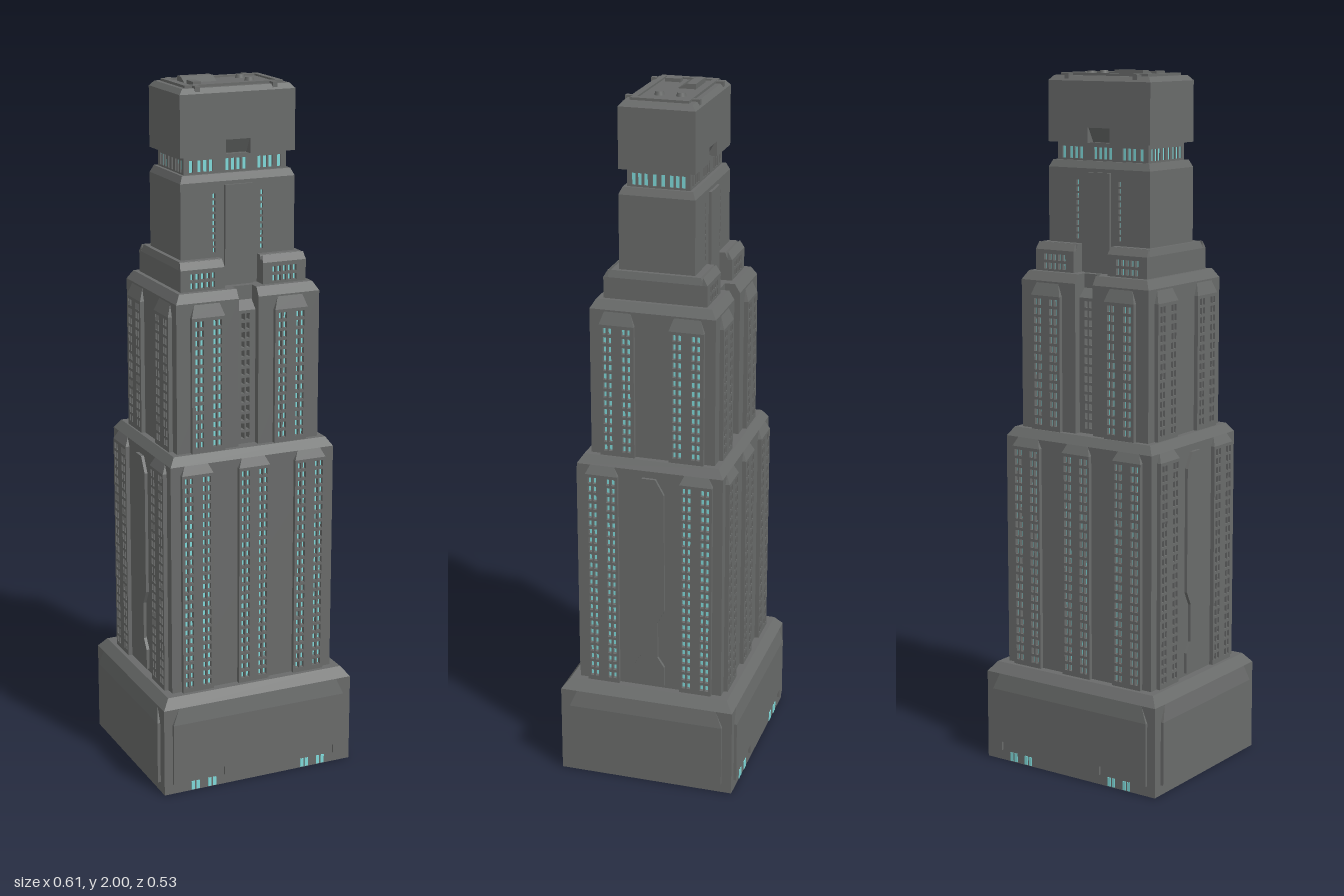
import * as THREE from 'three';

const stone = new THREE.MeshStandardMaterial({ color: 0x696b6a });
stone.name = 'grey stone';
const glass = new THREE.MeshStandardMaterial({ color: 0x7fdada });
glass.name = 'cyan glass';

function add(parent, name, geometry, material = stone) {
  const mesh = new THREE.Mesh(geometry, material);
  mesh.name = name;
  parent.add(mesh);
  return mesh;
}

// Box given by its bounds; the top edges can be pulled in per side.
function block(x0, x1, y0, y1, z0, z1, inset = {}) {
  const { l = 0, r = 0, b = 0, f = 0 } = inset;
  const g = new THREE.BoxGeometry(1, 1, 1).toNonIndexed();
  const p = g.attributes.position;
  for (let i = 0; i < p.count; i++) {
    const top = p.getY(i) > 0 ? 1 : 0;
    const x = p.getX(i) < 0 ? x0 + l * top : x1 - r * top;
    const z = p.getZ(i) < 0 ? z0 + b * top : z1 - f * top;
    p.setXYZ(i, x, top ? y1 : y0, z);
  }
  g.computeVertexNormals();
  return g;
}

// Centred block with a sloped coping on top.
function tier(parent, name, hx, hz, y0, yc, y1, cut) {
  add(parent, name, block(-hx, hx, y0, yc, -hz, hz));
  add(parent, name + 'Coping', block(-hx, hx, yc, y1, -hz, hz, { l: cut, r: cut, b: cut, f: cut }));
}

function plate(points, depth, holes = []) {
  const shape = new THREE.Shape(points.map(([x, y]) => new THREE.Vector2(x, y)));
  for (const h of holes) shape.holes.push(new THREE.Path(h.map(([x, y]) => new THREE.Vector2(x, y))));
  return new THREE.ExtrudeGeometry(shape, { depth, bevelEnabled: false });
}
const rect = (x0, x1, y0, y1) => [[x0, y0], [x1, y0], [x1, y1], [x0, y1]];

// Group standing on one side of the tower, with local +z pointing outward.
function face(parent, name, angle, dist, along = 0) {
  const turn = new THREE.Group();
  turn.rotation.y = angle;
  turn.name = name + 'Side';
  const g = new THREE.Group();
  g.position.set(along, 0, dist);
  g.name = name;
  turn.add(g);
  parent.add(turn);
  return g;
}

// Raised bay pierced by columns of small windows, glass set deep inside.
function windowBay(g, o) {
  const { w, y0, y1, cols, rows, win0, win1, depth = 0.012, paneW = 0.01, cap = 0, slope = 0.025 } = o;
  const pitch = (win1 - win0) / rows;
  const holes = [];
  for (const c of cols) {
    for (let r = 0; r < rows; r++) {
      const y = win0 + r * pitch;
      holes.push(rect(c - paneW / 2, c + paneW / 2, y + pitch * 0.15, y + pitch * 0.85));
    }
    const pane = new THREE.PlaneGeometry(paneW + 0.002, win1 - win0);
    pane.translate(c, (win0 + win1) / 2, 0.001);
    add(g, 'glassColumn', pane, glass);
  }
  add(g, 'bayFrame', plate(rect(-w / 2, w / 2, y0, y1), depth, holes));
  if (cap) add(g, 'bayCap', block(-w / 2, w / 2, y1, y1 + slope, -0.002, depth, { f: depth, l: cap, r: cap }));
}
const pairs = (...centres) => centres.flatMap(c => [c - 0.0075, c + 0.0075]);

export function createModel() {
  const tower = new THREE.Group();
  tower.name = 'tower';
  const front = [0, Math.PI], sides = [Math.PI / 2, -Math.PI / 2];

  // Podium with raised panels and low entrance windows
  tier(tower, 'podium', 0.296, 0.259, 0, 0.262, 0.29, 0.022);
  for (const a of front) {
    const g = face(tower, 'podiumFront', a, 0.259);
    add(g, 'panel', plate([[-0.27, 0.03], [-0.24, 0.03], [-0.24, 0.057], [-0.11, 0.057], [-0.11, 0.03],
      [0.11, 0.03], [0.11, 0.057], [0.24, 0.057], [0.24, 0.03], [0.27, 0.03], [0.27, 0.215], [-0.27, 0.215]], 0.008));
    add(g, 'panelSlope', block(-0.27, 0.27, 0.215, 0.262, -0.002, 0.008, { f: 0.008, l: 0.02, r: 0.02 }));
    for (const s of [-1, 1]) for (const c of pairs(s * 0.148, s * 0.2))
      add(g, 'entranceWindow', block(c - 0.005, c + 0.005, 0.002, 0.028, -0.001, 0.002), glass);
  }
  for (const a of sides) {
    const g = face(tower, 'podiumSide', a, 0.296);
    add(g, 'panel', plate(rect(-0.23, 0.23, 0.03, 0.215), 0.009));
    add(g, 'panelSlope', block(-0.23, 0.23, 0.215, 0.262, -0.002, 0.009, { f: 0.009, l: 0.02, r: 0.02 }));
  }

  // Lower shaft
  tier(tower, 'lowerShaft', 0.251, 0.213, 0.29, 0.965, 0.99, 0.017);
  const low = { w: 0.095, y0: 0.29, y1: 0.94, rows: 24, win0: 0.3, win1: 0.935, cols: pairs(-0.027, 0.027), cap: 0.012 };
  for (const a of front) for (const x of [-0.174, 0, 0.174])
    windowBay(face(tower, 'lowerFrontBay', a, 0.213, x), low);
  const fin = [[0.045, 0.3], [0.045, 0.36], [0.025, 0.39], [0.025, 0.5], [0.045, 0.54], [0.045, 0.9], [0.02, 0.945]];
  for (const a of sides) {
    for (const z of [-0.138, 0.138]) windowBay(face(tower, 'lowerSideBay', a, 0.251, z), low);
    add(face(tower, 'sideFin', a, 0.251), 'fin',
      plate([...fin, ...fin.map(([x, y]) => [-x, y]).reverse()], 0.009));
  }

  // Middle shaft: two halves with a notch between them
  for (const s of [-1, 1]) {
    const x0 = s < 0 ? -0.217 : 0.03, x1 = s < 0 ? -0.03 : 0.217;
    add(tower, 'middleShaft', block(x0, x1, 0.99, 1.415, -0.18, 0.18));
    add(tower, 'middleCoping', block(x0, x1, 1.415, 1.44, -0.18, 0.18,
      { l: s < 0 ? 0.015 : 0, r: s > 0 ? 0.015 : 0, b: 0.015, f: 0.015 }));
  }
  add(tower, 'middleCore', block(-0.03, 0.03, 0.99, 1.44, -0.136, 0.136));
  const mid = { w: 0.1, y0: 0.99, y1: 1.375, rows: 14, win0: 1.0, win1: 1.37, cols: pairs(-0.027, 0.027), cap: 0.012, slope: 0.035 };
  for (const a of front) {
    for (const x of [-0.126, 0.126]) windowBay(face(tower, 'middleFrontBay', a, 0.18, x), mid);
    const g = face(tower, 'notchBay', a, 0.136);
    windowBay(g, { ...mid, w: 0.06, cols: pairs(0), depth: 0.024, cap: 0.001, slope: 0.025 });
  }
  for (const a of sides) for (const z of [-0.1, 0.1])
    windowBay(face(tower, 'middleSideBay', a, 0.217, z), mid);

  // Shoulder blocks around the upper shaft
  for (const s of [-1, 1]) {
    const x0 = s < 0 ? -0.19 : 0.058, x1 = s < 0 ? -0.058 : 0.19;
    add(tower, 'shoulder', block(x0, x1, 1.44, 1.5, -0.136, 0.136));
    add(tower, 'shoulderCoping', block(x0, x1, 1.5, 1.52, -0.136, 0.136,
      { l: s < 0 ? 0.006 : 0, r: s > 0 ? 0.006 : 0, b: 0.008, f: 0.008 }));
    for (const a of front)
      windowBay(face(tower, 'shoulderBay', a, 0.136, s * 0.124), {
        w: 0.132, y0: 1.44, y1: 1.5, rows: 2, win0: 1.442, win1: 1.492, slope: 0.02, cap: 0.003,
        cols: [-0.032, -0.016, 0, 0.016, 0.032] });
  }

  // Upper shaft with slim window slots and a raised centre strip
  add(tower, 'upperShaft', block(-0.172, 0.172, 1.44, 1.73, -0.099, 0.099));
  add(tower, 'upperCoping', block(-0.172, 0.172, 1.73, 1.75, -0.108, 0.108, { l: 0.009, r: 0.009, b: 0.009, f: 0.009 }));
  for (const a of front) {
    const g = face(tower, 'upperFront', a, 0.099);
    windowBay(g, { w: 0.344, y0: 1.44, y1: 1.73, rows: 9, win0: 1.53, win1: 1.7, cols: [-0.072, 0.072], depth: 0.009, paneW: 0.008 });
    add(g, 'centreStrip', block(-0.042, 0.042, 1.44, 1.72, 0.008, 0.017));
  }

  // Glazed neck
  add(tower, 'neck', block(-0.149, 0.149, 1.75, 1.8, -0.084, 0.084));
  const neck = { y0: 1.75, y1: 1.8, rows: 1, win0: 1.748, win1: 1.795, depth: 0.005, paneW: 0.011 };
  for (const a of front)
    windowBay(face(tower, 'neckFront', a, 0.084), { ...neck, w: 0.308,
      cols: [-0.132, -0.107, -0.09, -0.073, -0.024, -0.007, 0.01, 0.027, 0.073, 0.09, 0.107, 0.132] });
  for (const a of sides)
    windowBay(face(tower, 'neckSide', a, 0.149), { ...neck, w: 0.178, cols: [-0.07, -0.053, -0.036, -0.012, 0.012, 0.036, 0.053, 0.07] });

  // Crown with a hooded recess at its lower edge
  add(tower, 'crown', block(-0.172, 0.172, 1.8, 1.97, -0.08, 0.08));
  add(tower, 'crownCoping', block(-0.172, 0.172, 1.97, 1.984, -0.108, 0.108, { l: 0.012, r: 0.012, b: 0.012, f: 0.012 }));
  for (const a of front) {
    const g = face(tower, 'crownFront', a, 0.08);
    add(g, 'crownSkin', plate([[-0.172, 1.8], [-0.037, 1.8], [-0.037, 1.842], [0.037, 1.842], [0.037, 1.8],
      [0.172, 1.8], [0.172, 1.97], [-0.172, 1.97]], 0.028));
    add(g, 'recessHood', block(-0.037, 0.037, 1.802, 1.842, -0.002, 0.002, { f: -0.022 }));
  }

  // Roof parapet, tabs and equipment
  const parapet = plate(rect(-0.147, 0.147, -0.082, 0.082), 0.008, [rect(-0.13, 0.13, -0.067, 0.067)]);
  parapet.rotateX(-Math.PI / 2).translate(0, 1.983, 0);
  add(tower, 'parapet', parapet);
  add(tower, 'roofDeck', block(-0.137, 0.137, 1.98, 1.986, -0.073, 0.073));
  for (const x of [-0.118, 0.112]) for (const z of [-0.093, 0.093])
    add(tower, 'roofTab', block(x - 0.007, x + 0.007, 1.975, 1.99, z - 0.011, z + 0.011));
  add(tower, 'roofHouse', block(-0.111, -0.015, 1.985, 2, -0.053, 0, { f: 0.027 }));
  add(tower, 'roofBox', block(-0.111, -0.087, 1.985, 1.996, 0.012, 0.056));
  for (const z of [-0.039, 0.022]) {
    add(tower, 'roofVent', new THREE.CylinderGeometry(0.011, 0.014, 0.01, 20)).position.set(0.073, 1.991, z);
  }
  return tower;
}
